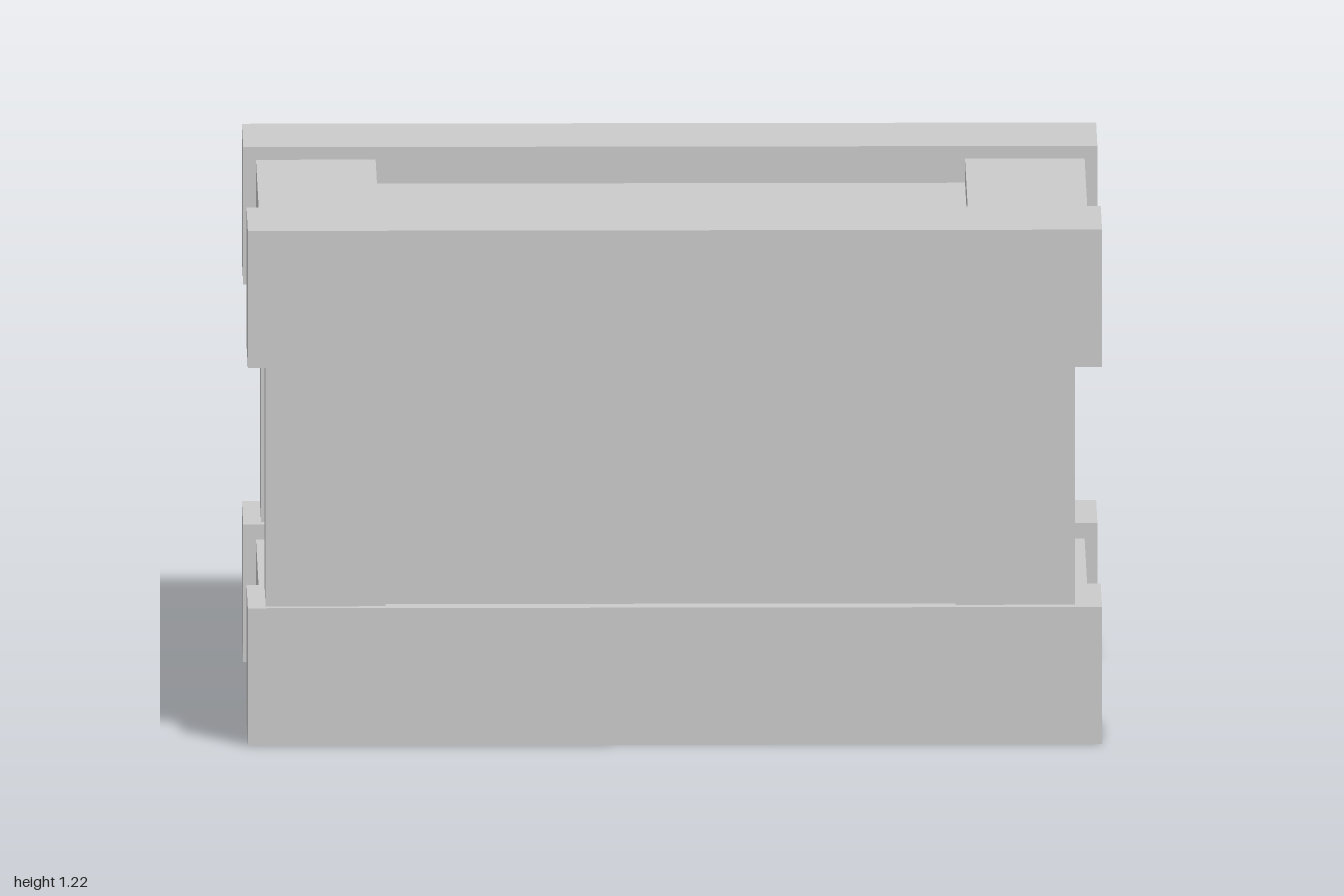
import * as THREE from 'three';

// Reinforced crate: a recessed core box framed by beams and corner posts
export function createModel() {
  const group = new THREE.Group();
  const material = new THREE.MeshStandardMaterial({ color: 0xcccccc, flatShading: true });

  // Box given by its [min, max] range on each axis
  function addBox(name, [x0, x1], [y0, y1], [z0, z1]) {
    const mesh = new THREE.Mesh(new THREE.BoxGeometry(x1 - x0, y1 - y0, z1 - z0), material);
    mesh.position.set((x0 + x1) / 2, (y0 + y1) / 2, (z0 + z1) / 2);
    mesh.name = name;
    group.add(mesh);
  }
  const mirrored = (sign, a, b) => (sign > 0 ? [a, b] : [-b, -a]);

  // Recessed panels, as one solid core
  addBox('corePanels', [-0.92, 0.913], [0.09, 1.135], [-0.695, 0.695]);

  for (const [level, longY, crossY] of [
    ['lower', [0, 0.326], [0.035, 0.29]],
    ['upper', [0.896, 1.222], [0.94, 1.192]],
  ]) {
    for (const s of [1, -1]) {
      // Long beams along the front and back edges
      addBox(`${level}${s > 0 ? 'Front' : 'Back'}Beam`, [-1, 1], longY, mirrored(s, 0.422, 0.75));
      // Cross beams between them at each end
      addBox(`${level}${s > 0 ? 'Left' : 'Right'}CrossBeam`, mirrored(s, 0.69, 0.97), crossY, [-0.43, 0.43]);
    }
  }

  // Corner posts, set slightly off centre
  for (const [side, x] of [['Left', [0.657, 0.937]], ['Right', [-0.958, -0.678]]]) {
    addBox(`front${side}Post`, x, [0.3, 0.92], [0.456, side === 'Left' ? 0.717 : 0.724]);
    addBox(`back${side}Post`, x, [0.3, 0.92], [-0.724, -0.456]);
  }
  return group;
}
